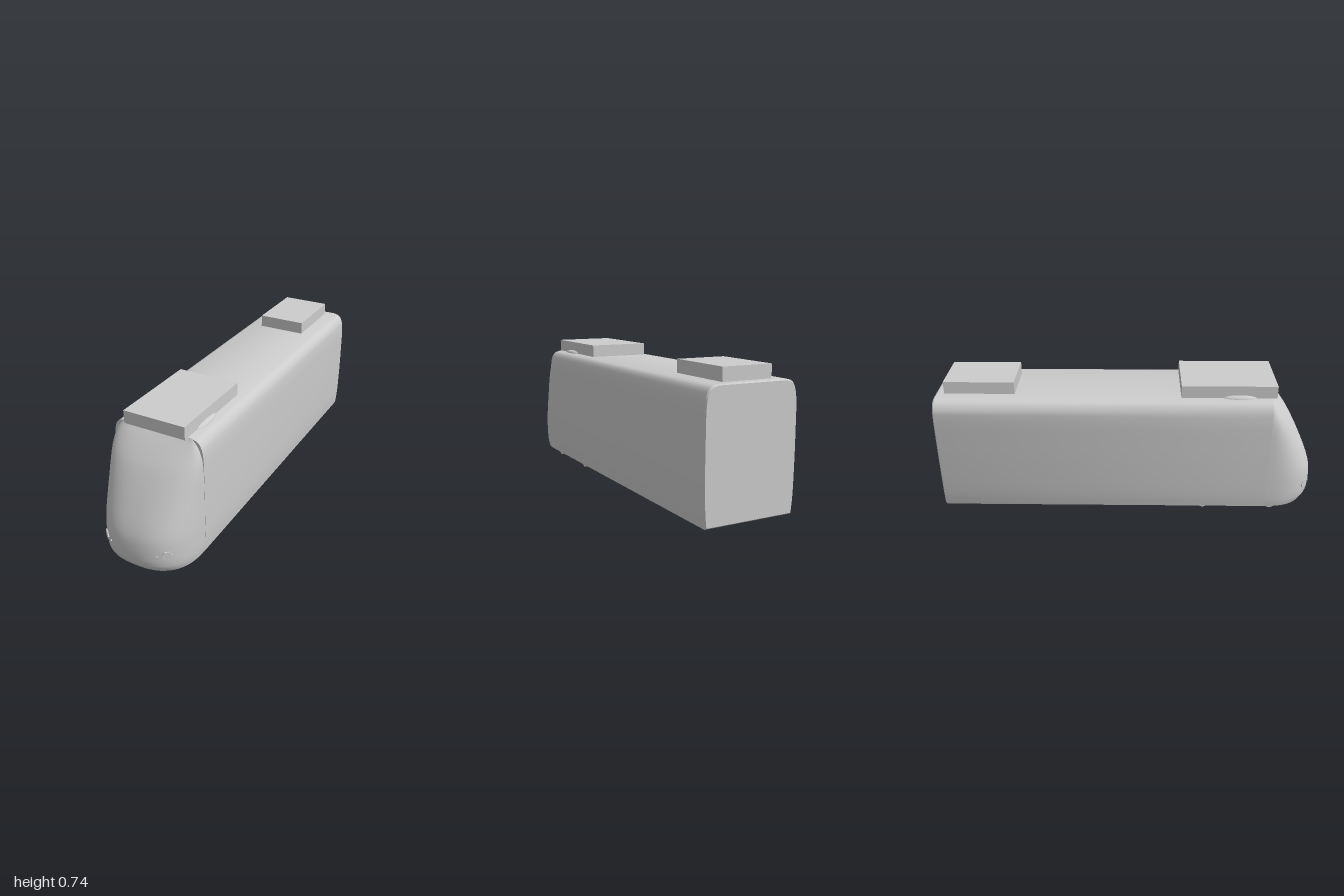
import * as THREE from 'three';
import { toCreasedNormals } from 'three/addons/utils/BufferGeometryUtils.js';

const V = (x, y, z = 0) => new THREE.Vector3(x, y, z);

// Skins a list of closed rings (equal point counts) and caps both ends.
function loft(rings, crease) {
  const n = rings[0].length, pos = [], index = [];
  rings.forEach(r => r.forEach(p => pos.push(p.x, p.y, p.z)));
  for (let k = 0; k < rings.length - 1; k++) {
    for (let i = 0; i < n; i++) {
      const a = k * n + i, b = k * n + (i + 1) % n;
      index.push(a, a + n, b, b, a + n, b + n);
    }
  }
  [0, rings.length - 1].forEach((k, end) => {
    const c = V(0, 0);
    rings[k].forEach(p => c.addScaledVector(p, 1 / n));
    const ci = pos.length / 3;
    pos.push(c.x, c.y, c.z);
    for (let i = 0; i < n; i++) {
      const a = k * n + i, b = k * n + (i + 1) % n;
      index.push(ci, end ? b : a, end ? a : b);
    }
  });
  const g = new THREE.BufferGeometry();
  g.setAttribute('position', new THREE.Float32BufferAttribute(pos, 3));
  g.setIndex(index);
  return toCreasedNormals(g, crease);
}

const NOSE_Z = 0.735, POWER = 0.8;

export function createModel() {
  const model = new THREE.Group();
  const grey = new THREE.MeshStandardMaterial({ color: 0xcccccc });
  const add = (name, geometry, x = 0, y = 0, z = 0) => {
    const m = new THREE.Mesh(geometry, grey);
    m.name = name;
    m.position.set(x, y, z);
    model.add(m);
    return m;
  };

  // Carriage body: slightly bulging sides, rounded roof corners, small rear bevel
  const half = new THREE.CatmullRomCurve3([
    V(0.232, 0.055), V(0.239, 0.13), V(0.243, 0.3), V(0.243, 0.45), V(0.24, 0.59),
    V(0.231, 0.637), V(0.212, 0.664), V(0.18, 0.675),
  ]).getPoints(28);
  const section = [...half, ...half.map(p => V(-p.x, p.y)).reverse()];
  const ring = (z, s) => section.map(p => V(p.x * s, 0.365 + (p.y - 0.365) * s, z));
  add('body', loft([ring(NOSE_Z, 1), ring(-0.992, 1), ring(-1, 0.98)], 0.6));

  // Nose: superelliptic plan whose width and depth change with height
  const noseSide = new THREE.CatmullRomCurve3([
    V(0.231, 0.055, 0.235), V(0.235, 0.08, 0.254), V(0.238, 0.11, 0.264),
    V(0.241, 0.2, 0.264), V(0.242, 0.26, 0.252), V(0.242, 0.4, 0.192),
    V(0.24, 0.53, 0.122), V(0.233, 0.585, 0.082), V(0.215, 0.635, 0.04),
    V(0.185, 0.674, 0.003),
  ]).getPoints(36);
  const pow = v => Math.sign(v) * Math.abs(v) ** POWER;
  const noseRing = p => Array.from({ length: 41 }, (_, i) => {
    const t = Math.PI * i / 40;
    return V(p.x * pow(Math.cos(t)), p.y, NOSE_Z + p.z * pow(Math.max(0, Math.sin(t))));
  });
  add('nose', loft(noseSide.map(noseRing), 0.7));

  // Roof equipment boxes
  add('frontRoofBox', new THREE.BoxGeometry(0.326, 0.066, 0.49), 0, 0.707, 0.515);
  add('rearRoofBox', new THREE.BoxGeometry(0.26, 0.066, 0.365), 0, 0.707, -0.7725);

  // Lamps lie flat against the curved nose
  const noseZ = x => NOSE_Z + 0.264 * (1 - (Math.abs(x) / 0.24) ** (2 / POWER)) ** (POWER / 2);
  const lamp = (name, x, y, r) => {
    const g = new THREE.CylinderGeometry(r, r, 0.012, 6);
    g.rotateY(Math.PI / 6).rotateX(Math.PI / 2).rotateZ(Math.PI / 6);
    // Turn the hexagon so its corners point sideways
    g.computeBoundingBox();
    if (g.boundingBox.max.x < g.boundingBox.max.y) g.rotateZ(Math.PI / 6);
    const slope = (noseZ(x + 0.004) - noseZ(x - 0.004)) / 0.008;
    add(name, toCreasedNormals(g, 0.3), x, y, noseZ(x)).rotation.y = Math.atan(-slope);
  };

  for (const s of [1, -1]) {
    const side = s > 0 ? 'left' : 'right';
    lamp(side + 'Headlight', s * 0.165, 0.165, 0.0254);
    lamp(side + 'MarkerLamp', s * 0.125, 0.161, 0.0068);

    // Low fairing beside the front roof box
    const fairing = new THREE.SphereGeometry(1, 20, 12).scale(0.034, 0.02, 0.095);
    add(side + 'RoofFairing', fairing, s * 0.15, 0.673, 0.57);

    // Eight-sided wheels, half hidden in the floor
    for (const z of [0.78, 0.41]) {
      const wheel = new THREE.CylinderGeometry(0.055, 0.055, 0.02, 8).rotateZ(Math.PI / 2);
      add(side + 'Wheel', wheel, s * 0.155, 0.055, z);
    }
  }
  return model;
}
